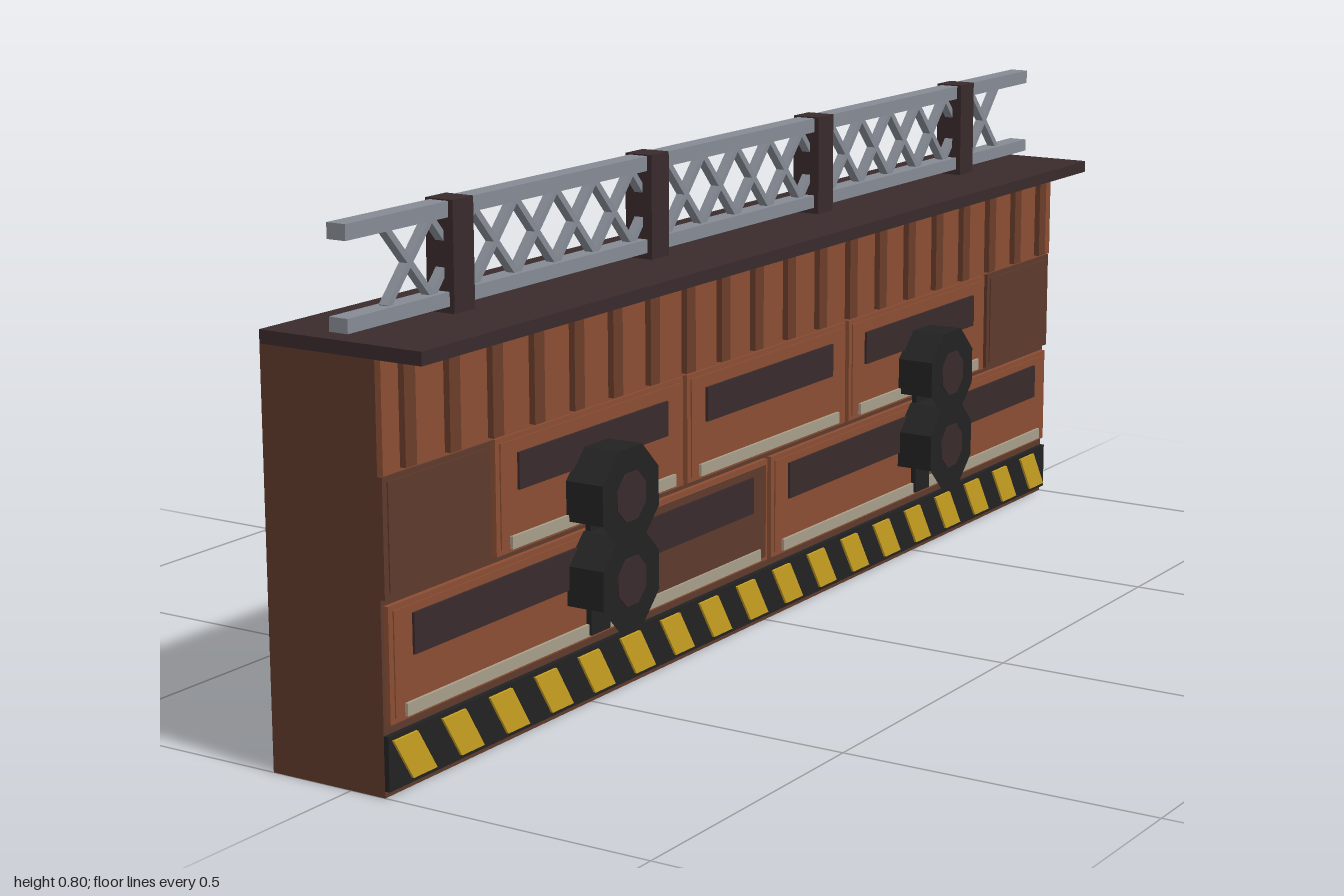
import * as THREE from 'three';

const mat = (name, color, extra = {}) => {
  const m = new THREE.MeshStandardMaterial({ color, ...extra });
  m.name = name;
  return m;
};

export function createModel() {
  const rust = mat('rust panel', 0x8b4e33);
  const darkRust = mat('dark rust', 0x6b3d2a);
  const brown = mat('brown wall', 0x5e3a2b);
  const trim = mat('dark trim', 0x3a2a2c);
  const black = mat('black', 0x222222, { flatShading: true, side: THREE.DoubleSide });
  const yellow = mat('hazard yellow', 0xc9a020);
  const steel = mat('steel', 0x868b94);
  const pale = mat('pale strip', 0xa89e8a);

  const root = new THREE.Group();
  root.name = 'barrierWall';

  const add = (name, geometry, material, parent = root) => {
    const m = new THREE.Mesh(geometry, material);
    m.name = name;
    parent.add(m);
    return m;
  };
  // Box given by its lower and upper limits on each axis
  const box = (name, material, x0, x1, y0, y1, z0, z1, parent = root) => {
    const m = add(name, new THREE.BoxGeometry(x1 - x0, y1 - y0, z1 - z0), material, parent);
    m.position.set((x0 + x1) / 2, (y0 + y1) / 2, (z0 + z1) / 2);
    return m;
  };

  // Wall and its overhanging cap
  box('wall', brown, -0.14, 0.06, 0, 0.62, -1, 1);
  box('cap', trim, -0.14, 0.14, 0.62, 0.64, -1, 1);

  // Corrugated upper band
  box('corrugatedBand', rust, 0.06, 0.07, 0.46, 0.62, -1, 1);
  for (let i = 0; i < 20; i++) {
    const z = -0.95 + i * 0.1;
    box('rib', darkRust, 0.07, 0.08, 0.465, 0.617, z - 0.0125, z + 0.0125);
  }

  // Panel with a slightly raised centre
  const panel = (material, y0, y1, z0, z1) => {
    box('panel', material, 0.06, 0.068, y0, y1, z0, z1);
    box('panelFace', material, 0.068, 0.07, y0 + 0.008, y1 - 0.008, z0 + 0.01, z1 - 0.01);
  };
  const fittings = (y0, z0, z1, w0, w1) => {
    box('window', trim, 0.07, 0.074, w0, w1, z0 + 0.05, z1 - 0.05);
    box('strip', pale, 0.07, 0.075, y0 + 0.006, y0 + 0.025, z0 + 0.03, z1 - 0.03);
  };

  // Upper panel row
  for (const c of [-0.5, 0, 0.5]) {
    panel(rust, 0.285, 0.458, c - 0.244, c + 0.244);
    fittings(0.285, c - 0.244, c + 0.244, 0.375, 0.43);
  }
  panel(brown, 0.285, 0.458, -1, -0.756);
  panel(brown, 0.285, 0.458, 0.756, 1);

  // Lower panel row, with one darker patch
  for (const c of [-0.5, 0.5]) {
    panel(rust, 0.105, 0.275, c - 0.494, c + 0.494);
    fittings(0.105, c - 0.494, c + 0.494, 0.195, 0.255);
  }
  box('darkPatch', brown, 0.07, 0.0715, 0.113, 0.267, 0.016, 0.5);

  // Hazard band with slanted stripes
  box('hazardBand', black, 0.06, 0.068, 0.01, 0.09, -1, 1);
  const pitch = 2 / 18, hw = 0.027, sh = 0.021;
  const stripe = new THREE.ExtrudeGeometry(new THREE.Shape([
    new THREE.Vector2(-hw + sh, -0.033), new THREE.Vector2(hw + sh, -0.033),
    new THREE.Vector2(hw - sh, 0.033), new THREE.Vector2(-hw - sh, 0.033),
  ]), { depth: 0.004, bevelEnabled: false }).rotateY(Math.PI / 2);
  for (let i = 0; i < 18; i++) {
    add('hazardStripe', stripe, yellow).position.set(0.068, 0.05, -1 + pitch * (i + 0.5));
  }

  // Pairs of octagonal hooded lamps, open underneath
  const R = 0.08;
  const hood = new THREE.CylinderGeometry(R, R, 0.065, 5, 1, true, -Math.PI * 9 / 8, Math.PI * 5 / 4)
    .rotateZ(-Math.PI / 2);
  const face = new THREE.CircleGeometry(R, 8, Math.PI / 8).rotateY(Math.PI / 2);
  const lens = new THREE.CylinderGeometry(0.04, 0.04, 0.003, 8).rotateX(0)
    .rotateY(Math.PI / 8).rotateZ(-Math.PI / 2);
  for (const z of [-0.5, 0.5]) {
    const lamp = new THREE.Group();
    lamp.name = 'signalLamp';
    root.add(lamp);
    box('lampMount', black, 0.07, 0.079, 0.113, 0.4, z - 0.025, z + 0.025, lamp);
    for (const y of [0.201, 0.331]) {
      add('lampHood', hood, black, lamp).position.set(0.1025, y, z);
      add('lampFace', face, black, lamp).position.set(0.135, y, z);
      add('lampLens', lens, trim, lamp).position.set(0.1355, y, z);
    }
  }

  // Lattice railing: chords, posts and crossed braces
  box('topChord', steel, -0.016, 0.016, 0.777, 0.8, -1, 1);
  box('bottomChord', steel, -0.016, 0.016, 0.65, 0.671, -1, 1);
  for (const z of [-0.75, -0.25, 0.25, 0.75]) {
    box('post', trim, -0.024, 0.024, 0.64, 0.802, z - 0.024, z + 0.024);
  }
  const brace = new THREE.BoxGeometry(0.015, 0.01, Math.hypot(0.1, 0.11));
  for (let i = 0; i < 18; i++) {
    for (const s of [-1, 1]) {
      const b = add('brace', brace, steel);
      b.position.set(0, 0.724, -0.85 + i * 0.1);
      b.rotation.x = s * Math.atan2(0.11, 0.1);
    }
  }
  return root;
}
